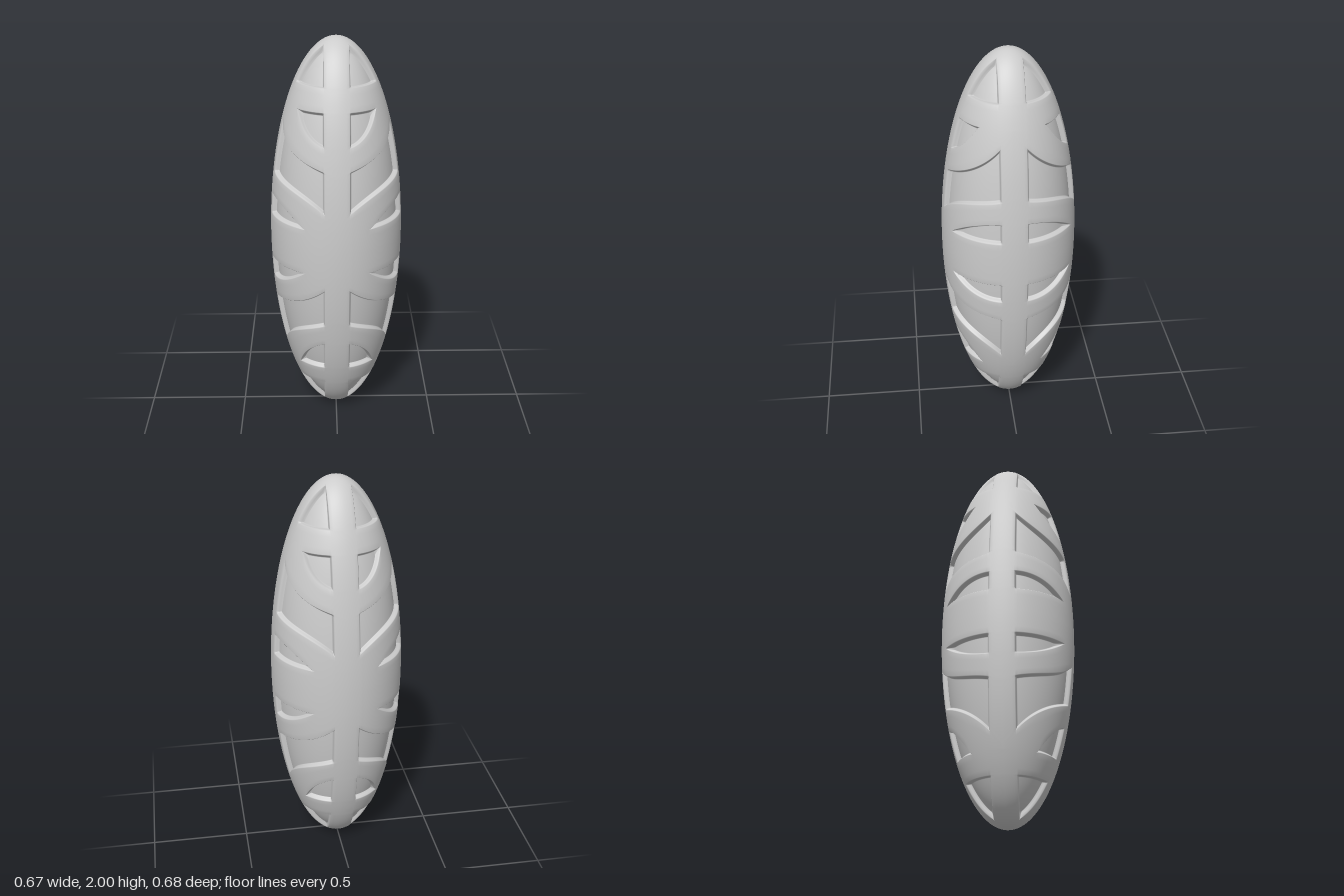
import * as THREE from 'three';
import { mergeVertices } from 'three/addons/utils/BufferGeometryUtils.js';

const RX = 0.333, RY = 1, RZ = 0.34, R = 0.336; // ellipsoid radii, mean girth
const BAND = 0.06;    // half width of the four upright bands
const DEPTH = 0.024;  // how far the panels are sunk
// rounded wall of a panel: [distance inward, fraction of depth]
const WALL = [[0, 0], [0.004, 0.14], [0.009, 0.55], [0.012, 1], [0.016, 1]];

// smooth curve through a few [degrees, height] points
const curve = (pts) => (deg) => pts.reduce((sum, [a, y], i) =>
  sum + pts.reduce((p, [b], k) => (k === i ? p : p * (deg - b) / (a - b)), y), 0);

const archTop = curve([[28, 1.115], [50, 1.19], [80, 1.225]]);
const longBottom = curve([[11, 1.20], [32, 1.27], [56, 1.31], [79, 1.335]]);
const longTop = curve([[11, 1.41], [30, 1.445], [56, 1.51], [79, 1.61]]);
const fanBottom = curve([[12, 1.52], [30, 1.565], [51, 1.685]]);

// panels of one eighth of the shell, from the waist up: lower and upper edge
const panels = [
  { lo: () => 1.115, hi: (d) => Math.max(1.115, archTop(d)), n: 6 },
  { lo: longBottom, hi: longTop, n: 12 },
  { lo: (d) => Math.min(1.685, fanBottom(d)), hi: () => 1.685, n: 10 },
  { lo: () => 1.79, hi: () => 2, n: 26 },
];

const latitude = (y) => Math.asin(THREE.MathUtils.clamp(y - 1, -1, 1));

// plain stretch of grid lines, ends left out at b
function addBand(out, a, b, n) {
  for (let i = 0; i < n; i++) out.push([a + (b - a) * i / n, 0]);
}

// grid lines across a sunk panel, with a wall at both ends
function addPanel(out, lo, hi, unit, n) {
  const s = THREE.MathUtils.clamp((hi - lo) * unit / 0.04, 0, 1);
  const inset = 0.016 * s / unit;
  for (const [e, f] of WALL) out.push([lo + e * s / unit, f * s]);
  for (let i = 1; i < n; i++) out.push([lo + inset + (hi - lo - 2 * inset) * i / n, s]);
  for (const [e, f] of [...WALL].reverse()) out.push([hi - e * s / unit, f * s]);
}

// grid lines round the quarter turn at one latitude
function columnsAt(phi) {
  const r = Math.max(R * Math.cos(phi), 1e-3);
  const edge = Math.asin(Math.min(BAND / r, Math.SQRT1_2));
  const out = [];
  addBand(out, 0, edge, 4);
  addPanel(out, edge, Math.PI / 2 - edge, r, 22);
  addBand(out, Math.PI / 2 - edge, Math.PI / 2, 4);
  out.push([Math.PI / 2, 0]);
  return out;
}

// grid lines from waist to tip at one angle
function rowsAt(theta) {
  const deg = THREE.MathUtils.radToDeg(theta);
  const out = [];
  let from = 0;
  for (const { lo, hi, n } of panels) {
    const a = latitude(lo(deg)), b = latitude(hi(deg));
    addBand(out, from, a, 4);
    addPanel(out, a, b, Math.hypot(R * Math.sin(a), Math.cos(a)), n);
    from = b;
  }
  return out;
}

// one eighth of the shell as a grid of points
function eighthGrid() {
  const cols = columnsAt(0).length, rows = rowsAt(0).length;
  const points = [];
  for (let j = 0; j < rows; j++) {
    for (let i = 0; i < cols; i++) {
      let row = rowsAt(0.8)[j], col;
      for (let k = 0; k < 6; k++) {
        col = columnsAt(row[0])[i];
        row = rowsAt(col[0])[j];
      }
      const [theta, f] = col, [phi, g] = row;
      const n = new THREE.Vector3(
        Math.sin(theta) * Math.cos(phi), Math.sin(phi), Math.cos(theta) * Math.cos(phi));
      const p = new THREE.Vector3(n.x * RX, n.y * RY, n.z * RZ);
      n.set(n.x / RX, n.y / RY, n.z / RZ).normalize();
      points.push(p.addScaledVector(n, -DEPTH * Math.min(f, g)));
    }
  }
  return { points, cols, rows };
}

export function createModel() {
  const { points, cols, rows } = eighthGrid();
  const position = [], index = [];

  // mirror the eighth in all three directions
  for (const sx of [1, -1]) for (const sy of [1, -1]) for (const sz of [1, -1]) {
    const base = position.length / 3;
    for (const p of points) position.push(p.x * sx, 1 + p.y * sy, p.z * sz);
    for (let j = 0; j < rows - 1; j++) {
      for (let i = 0; i < cols - 1; i++) {
        const a = base + j * cols + i, b = a + 1, c = b + cols, d = a + cols;
        if (sx * sy * sz > 0) index.push(a, b, c, a, c, d);
        else index.push(a, c, b, a, d, c);
      }
    }
  }

  let geometry = new THREE.BufferGeometry();
  geometry.setAttribute('position', new THREE.Float32BufferAttribute(position, 3));
  geometry.setIndex(index);
  geometry = mergeVertices(geometry, 1e-5);
  geometry.computeVertexNormals();

  const shell = new THREE.Mesh(geometry, new THREE.MeshStandardMaterial({ color: 0xcccccc }));
  shell.name = 'bandedShell';
  const group = new THREE.Group();
  group.name = 'bandedEllipsoid';
  group.add(shell);
  return group;
}
